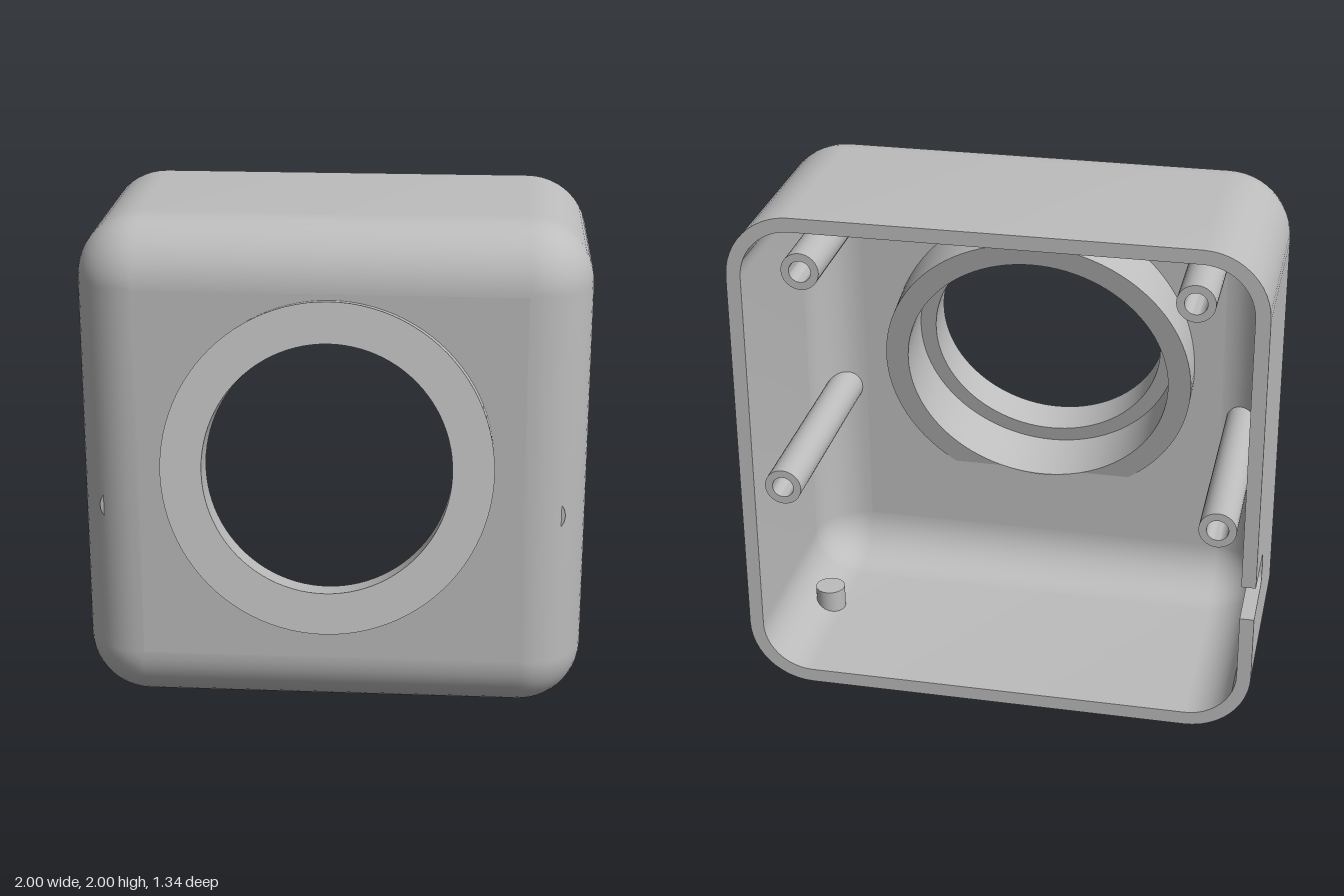
import * as THREE from 'three';
import { toCreasedNormals } from 'three/addons/utils/BufferGeometryUtils.js';

const grey = new THREE.MeshStandardMaterial({ color: 0xbdbdbd });
grey.name = 'grey plastic';

const OUT = 0.25, WALL = 0.055, INN = OUT - WALL; // outer / inner edge radii
const CORE = 0.75;                                // centres of the corner rounding
const BACK = -0.67, BEND = 0.08;                  // rear rim, start of front rounding
const TILT = THREE.MathUtils.degToRad(12);

// Sweep a profile of [radius, z] points round the rounded square.
// An open sweep leaves out the straight wall on the -x side.
function sweep(rows, closed) {
  const rim = [], n = 12;
  [[-1, -1], [1, -1], [1, 1], [-1, 1]].forEach(([sx, sy], k) => {
    for (let i = 0; i <= n; i++) {
      const a = Math.PI + (k + i / n) * Math.PI / 2;
      rim.push([sx * CORE, 1 + sy * CORE, Math.cos(a), Math.sin(a)]);
    }
  });
  if (closed) rim.push(rim[0]);
  const pos = [], idx = [], w = rim.length;
  for (const [r, z] of rows)
    for (const [cx, cy, dx, dy] of rim) pos.push(cx + r * dx, cy + r * dy, z);
  for (let j = 0; j < rows.length - 1; j++)
    for (let i = 0; i < w - 1; i++) {
      const a = j * w + i, d = a + w;
      idx.push(a, a + 1, d + 1, a, d + 1, d);
    }
  const g = new THREE.BufferGeometry();
  g.setAttribute('position', new THREE.Float32BufferAttribute(pos, 3));
  g.setIndex(idx);
  return toCreasedNormals(g, 0.6);
}

// Quarter-round profile from the side wall to the flat front
function roundProfile(r) {
  const rows = [];
  for (let i = 0; i <= 12; i++) {
    const a = i / 12 * Math.PI / 2;
    rows.push([i === 12 ? 0 : r * Math.cos(a), BEND + r * Math.sin(a)]);
  }
  return rows;
}

// Flat square front with the opening for the collar
function frontFlat(z, facingBack) {
  const s = new THREE.Shape([[-1, -1], [1, -1], [1, 1], [-1, 1]]
    .map(([x, y]) => new THREE.Vector2(x * CORE, 1 + y * CORE)));
  const hole = new THREE.Path();
  const cy = 1.125 - Math.tan(TILT) * (0.54 - z);
  hole.absellipse(0, cy, 0.54, 0.54 / Math.cos(TILT), 0, Math.PI * 2, true);
  s.holes.push(hole);
  const g = new THREE.ShapeGeometry(s, 48);
  if (facingBack) g.rotateY(Math.PI);
  return g.translate(0, 0, z);
}

function lathe(points, segments) {
  const pts = points.map(([r, y]) => new THREE.Vector2(r, y));
  return toCreasedNormals(new THREE.LatheGeometry(pts, segments), 0.6);
}

export function createModel() {
  const model = new THREE.Group();
  model.name = 'housing';
  const add = (name, geometry, parent = model) => {
    const m = new THREE.Mesh(geometry, grey);
    m.name = name;
    parent.add(m);
    return m;
  };

  // Shell: rounded front edges, walls with rear rim, flat front
  const shell = new THREE.Group();
  shell.name = 'shell';
  model.add(shell);
  add('outerRounding', sweep(roundProfile(OUT), true), shell);
  add('innerRounding', sweep(roundProfile(INN).reverse(), true), shell);
  add('walls', sweep([[INN, BEND], [INN, BACK], [OUT, BACK], [OUT, BEND]], false), shell);
  add('frontOutside', frontFlat(BEND + OUT, false), shell);
  add('frontInside', frontFlat(BEND + INN, true), shell);

  // Side wall with a cable slot open to the rear
  const lo = 0.51, hi = 0.65, end = 0.39, c = 0.05;
  const side = new THREE.Shape();
  side.moveTo(-BEND, 0.25);
  side.lineTo(-BACK, 0.25);
  side.lineTo(-BACK, lo);
  side.lineTo(end + c, lo);
  side.quadraticCurveTo(end, lo, end, lo + c);
  side.lineTo(end, hi - c);
  side.quadraticCurveTo(end, hi, end + c, hi);
  side.lineTo(-BACK, hi);
  side.lineTo(-BACK, 1.75);
  side.lineTo(-BEND, 1.75);
  side.closePath();
  const panel = new THREE.ExtrudeGeometry(side, { depth: WALL, bevelEnabled: false, curveSegments: 8 });
  panel.rotateY(Math.PI / 2).translate(-1, 0, 0);
  add('slottedWall', panel, shell);

  // Tilted collar with a stepped bore
  const collar = add('collar', lathe([
    [0.633, -0.38], [0.633, 0], [0.475, 0], [0.475, -0.15],
    [0.54, -0.15], [0.54, -0.38], [0.633, -0.38],
  ], 96));
  collar.rotation.x = Math.PI / 2 - TILT;
  collar.position.set(0, 1.125, 0.54);

  // Four hollow screw posts
  const postLength = 0.91, r = 0.072, bore = 0.042;
  const post = lathe([
    [0, 0], [r, 0], [r, postLength], [bore, postLength],
    [bore, postLength - 0.35], [0, postLength - 0.35],
  ], 32).rotateX(-Math.PI / 2);
  for (const s of [-1, 1])
    for (const [name, x, y] of [['upperPost', 0.73, 1.775], ['lowerPost', 0.843, 0.86]])
      add(name, post).position.set(s * x, y, 0.28);

  // Small peg on the floor
  add('floorPeg', new THREE.CylinderGeometry(0.06, 0.06, 0.12, 32)).position.set(0.81, 0.09, -0.19);

  return model;
}
